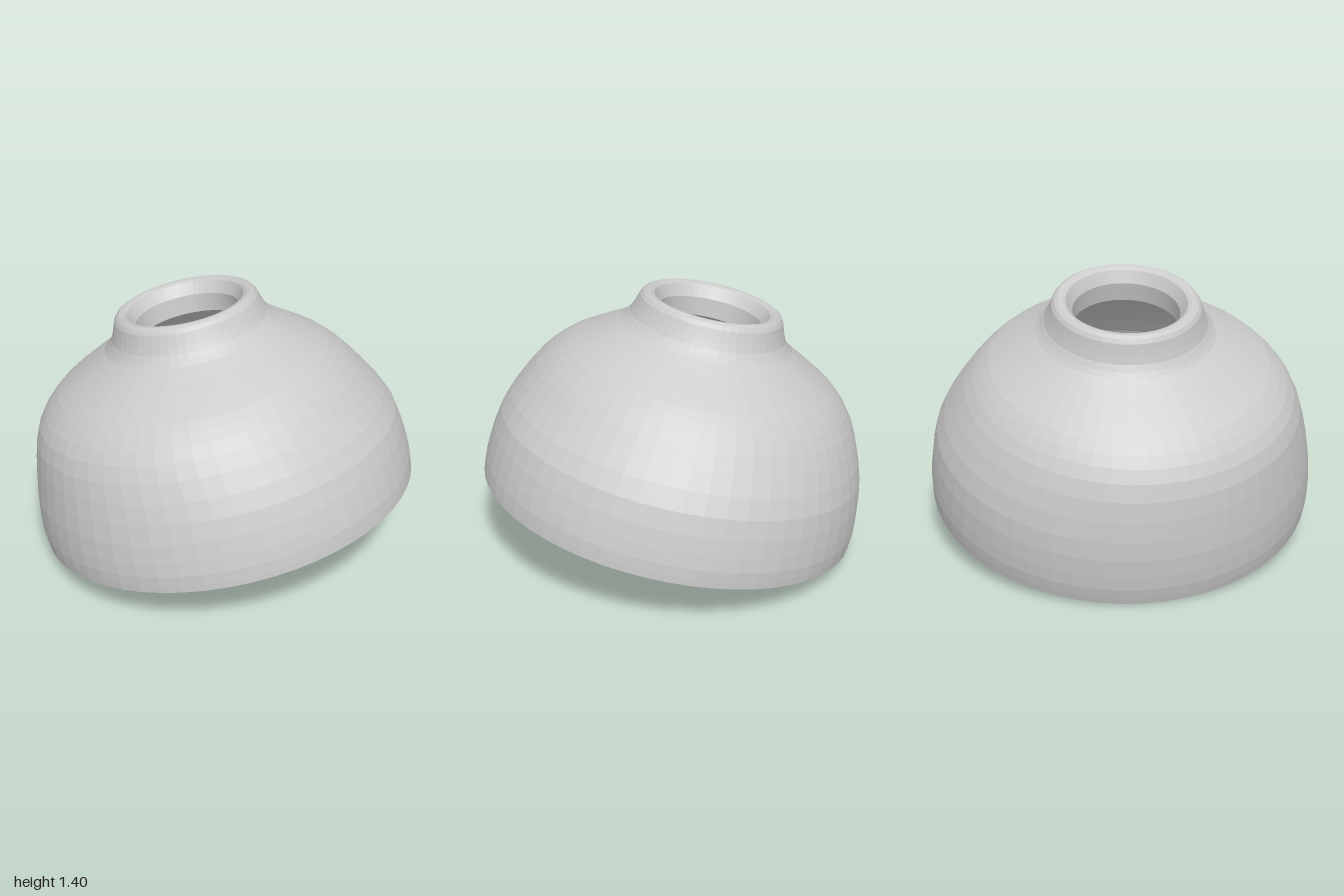
import * as THREE from 'three';

const SEGMENTS = 56;
const material = new THREE.MeshStandardMaterial({ color: 0xcccccc, flatShading: true, side: THREE.DoubleSide });

// Revolve a [radius, height] profile; steps > 0 smooths it with a spline first
function revolve(name, profile, steps = 0) {
  let points = profile.map(([r, h]) => new THREE.Vector2(r, h));
  if (steps) points = new THREE.SplineCurve(points).getPoints(steps);
  const mesh = new THREE.Mesh(new THREE.LatheGeometry(points, SEGMENTS), material);
  mesh.name = name;
  return mesh;
}

// Push the shoulder of a dome slightly off its axis, fading out towards rim and neck
function skewShoulder(mesh) {
  const position = mesh.geometry.attributes.position;
  for (let i = 0; i < position.count; i++) {
    const t = THREE.MathUtils.clamp((position.getY(i) - 0.4) / 0.55, 0, 1);
    const amount = Math.sin(Math.PI * t);
    position.setX(i, position.getX(i) - 0.03 * amount);
    position.setZ(i, position.getZ(i) + 0.025 * amount);
  }
  mesh.geometry.computeVertexNormals();
  return mesh;
}

export function createModel() {
  const shade = new THREE.Group();
  shade.name = 'tiltedDomeShade';

  // Profiles run up the outside, over the collar, down the inside and out under the rim
  shade.add(
    skewShoulder(revolve('outerDome', [
      [1, 0], [1.003, 0.13], [0.965, 0.37], [0.86, 0.61],
      [0.75, 0.745], [0.64, 0.825], [0.53, 0.895], [0.455, 0.945],
    ], 18)),
    revolve('neckCollar', [
      [0.455, 0.945], [0.415, 0.99], [0.39, 1.05], [0.372, 1.1], [0.34, 1.122], [0.305, 1.11],
    ], 9),
    revolve('neckBore', [[0.305, 1.11], [0.27, 1.05], [0.272, 0.95]]),
    // Thin wall: the lining follows the outside closely
    skewShoulder(revolve('innerDome', [
      [0.272, 0.95], [0.4, 0.905], [0.5, 0.85], [0.62, 0.77], [0.72, 0.68],
      [0.82, 0.56], [0.91, 0.36], [0.94, 0.2], [0.93, 0.13],
    ], 16)),
    // Inward flange with a raised lip around the opening
    revolve('openingLip', [[0.93, 0.13], [0.77, 0.1], [0.77, 0.06], [0.8, 0.045], [0.82, 0.01]]),
    revolve('rimFace', [[0.82, 0.01], [1, 0]]),
  );

  // Lean the whole shade sideways and very slightly back
  shade.rotation.set(-0.02, 0, 0.232);
  shade.position.set(0.025, 0.23, 0);

  const model = new THREE.Group();
  model.name = 'domeShade';
  model.add(shade);
  return model;
}
